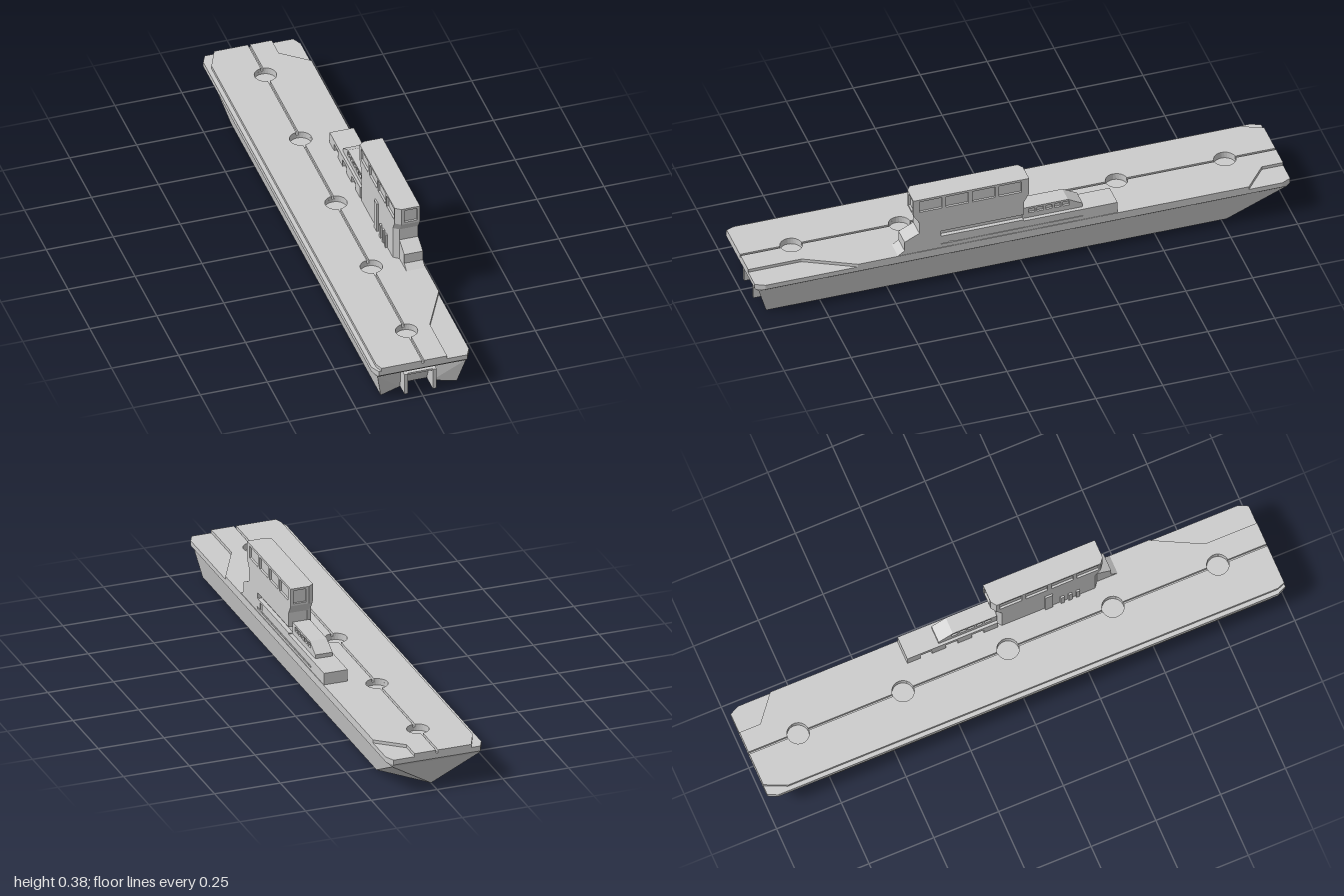
import * as THREE from 'three';
import { ConvexGeometry } from 'three/addons/geometries/ConvexGeometry.js';

const mat = new THREE.MeshStandardMaterial({ color: 0xcccccc, flatShading: true });
const skinMat = new THREE.MeshStandardMaterial({ color: 0xcccccc, flatShading: true, side: THREE.DoubleSide });

export function createModel() {
  const model = new THREE.Group();
  const add = (name, geometry, material = mat) => {
    const mesh = new THREE.Mesh(geometry, material);
    mesh.name = name;
    model.add(mesh);
    return mesh;
  };
  const toShape = (pts, holes = []) => {
    const shape = new THREE.Shape(pts.map(p => new THREE.Vector2(...p)));
    for (const h of holes) shape.holes.push(new THREE.Path(h.map(p => new THREE.Vector2(...p))));
    return shape;
  };
  const extrude = (pts, depth, holes) =>
    new THREE.ExtrudeGeometry(toShape(pts, holes), { depth, bevelEnabled: false });
  // Outline in (x, z), raised from y0 to y1
  const slab = (name, pts, y0, y1, holes) =>
    add(name, extrude(pts, y1 - y0, holes).rotateX(Math.PI / 2).translate(0, y1, 0));
  // Profile in (z, y), spanning x0 to x1
  const profile = (name, pts, x0, x1, holes) =>
    add(name, extrude(pts, x1 - x0, holes).rotateY(-Math.PI / 2).translate(x1, 0, 0));
  // Profile in (x, y), spanning z0 to z1
  const panel = (name, pts, z0, z1, holes) =>
    add(name, extrude(pts, z1 - z0, holes).translate(0, 0, z0));
  const rect = (a0, b0, a1, b1) => [[a0, b0], [a1, b0], [a1, b1], [a0, b1]];
  const box = (name, x0, x1, y0, y1, z0, z1) =>
    add(name, new THREE.BoxGeometry(x1 - x0, y1 - y0, z1 - z0)
      .translate((x0 + x1) / 2, (y0 + y1) / 2, (z0 + z1) / 2));
  const circle = (cz, r, n = 24) => Array.from({ length: n }, (_, i) => {
    const t = i / n * Math.PI * 2;
    return [r * Math.cos(t), cz + r * Math.sin(t)];
  });

  // Hull skin from flat facets, mirrored left and right
  const pos = [];
  const facet = (...p) => {
    for (let i = 1; i < p.length - 1; i++) pos.push(...p[0], ...p[i], ...p[i + 1]);
  };
  const flip = p => [-p[0], p[1], p[2]];
  const both = (...p) => { facet(...p); facet(...p.map(flip).reverse()); };
  const across = (a, b) => facet(a, b, flip(b), flip(a));
  const sternLow = [.142, 0, .95], bowLow = [.142, 0, -.77], keel = [0, 0, -.94];
  const sternTop = [.165, .11, .985], bowTop = [.165, .11, -.985];
  const sternSide = [.182, .124, .965], bowSide = [.182, .124, -.965];
  const sternEnd = [.165, .124, 1], bowEnd = [.165, .124, -1];
  const postTop = [.06, .085, .93], postLow = [.06, 0, .92];
  both(sternLow, bowLow, bowTop, sternTop);
  both(bowLow, keel, bowTop);
  facet(bowTop, keel, flip(bowTop));
  both(sternTop, bowTop, bowSide, sternSide);
  both(sternTop, sternSide, sternEnd);
  both(bowTop, bowEnd, bowSide);
  across(bowEnd, bowTop);
  across(sternTop, sternEnd);
  across(postTop, sternTop);
  both(sternTop, postTop, postLow);
  both(sternTop, postLow, sternLow);
  across([.06, 0, .9], [.06, .085, .935]);
  // Square pockets sunk in the bottom
  for (const z of [-.41, .41]) {
    const c = rect(-.05, z - .05, .05, z + .05);
    c.forEach((p, i) => {
      const q = c[(i + 1) % 4];
      facet([p[0], 0, p[1]], [p[0], .05, p[1]], [q[0], .05, q[1]], [q[0], 0, q[1]]);
    });
    facet(...c.map(p => [p[0], .05, p[1]]));
  }
  const hull = new THREE.BufferGeometry();
  hull.setAttribute('position', new THREE.Float32BufferAttribute(pos, 3));
  hull.computeVertexNormals();
  add('hull', hull, skinMat);
  const bottom = [[.142, .95], [.142, -.77], [0, -.94], [-.142, -.77], [-.142, .95],
    [-.06, .92], [-.06, .9], [.06, .9], [.06, .92]];
  add('hullBottom', new THREE.ShapeGeometry(toShape(bottom,
    [-.41, .41].map(z => rect(-.05, z - .05, .05, z + .05)))).rotateX(Math.PI / 2), skinMat);

  // Portal on the front end
  for (const s of [-1, 1]) box('portalPost', s * .053 - .007, s * .053 + .007, 0, .085, .89, .97);
  box('portalLintel', -.046, .046, .078, .085, .9, .965);

  // Deck plates with round sockets
  const deck = [[.165, 1], [.182, .965], [.182, -.965], [.165, -1],
    [-.165, -1], [-.182, -.965], [-.182, .965], [-.165, 1]];
  const sockets = [-.81, -.405, 0, .405, .81], r = .04, gap = .004;
  slab('deckBase', deck, .124, .13);
  slab('deckPlate', deck, .13, .143, sockets.map(z => circle(z, r)));

  // Raised flight deck in two halves, leaving the centre groove
  const flightHalf = (side, outline) => {
    const pts = [[side * gap, -1]], t0 = Math.acos(gap / r);
    for (const z of sockets)
      for (let i = 0; i <= 12; i++) {
        const t = -t0 + 2 * t0 * i / 12;
        pts.push([side * r * Math.cos(t), z + r * Math.sin(t)]);
      }
    pts.push([side * gap, 1], ...outline);
    slab('flightDeck', pts, .143, .155);
  };
  flightHalf(-1, [[-.155, 1], [-.166, .97], [-.166, -.92], [-.13, -1]]);
  flightHalf(1, [[.09, 1], [.09, .8], [.182, .62], [.182, -.84], [.085, -.92], [.085, -1]]);

  // Island tower: stem, flare and bridge
  const footprint = (front, back, outer = .18) => [[outer, back], [outer, front], [.11, front],
    [.09, front - .015], [.09, back + .015], [.11, back]];
  slab('towerFoot', footprint(.39, 0, .162), .155, .228);
  slab('towerStem', footprint(.39, 0), .228, .283);
  const lift = (pts, y) => pts.map(([x, z]) => new THREE.Vector3(x, y, z));
  add('towerFlare', new ConvexGeometry(
    [...lift(footprint(.39, 0), .283), ...lift(footprint(.412, -.02), .318)]));
  slab('bridgeCore', [[.172, -.012], [.172, .404], [.11, .404], [.11, .412], [.09, .397],
    [.098, .397], [.098, -.005], [.09, -.005], [.11, -.02], [.11, -.012]], .318, .385);

  // Window frames around the bridge
  const windows = [0, 1, 2, 3].map(i => rect(.008 + i * .099, .33, .092 + i * .099, .376));
  profile('bridgeSideFrame', rect(-.02, .318, .412, .385), .172, .18, windows);
  profile('bridgeInnerFrame', rect(-.005, .318, .397, .385), .09, .098, windows);
  for (const z of [-.02, .404])
    panel('bridgeEndFrame', rect(.11, .318, .172, .385), z, z + .008, [rect(.121, .326, .169, .377)]);

  // Stepped front of the island
  profile('frontStep', [[.47, .155], [.445, .172], [.445, .21], [.39, .237], [.39, .155]], .11, .18);

  // Outer walkway and its parapet
  box('walkwayEnd', .162, .18, .155, .228, .31, .39);
  box('walkway', .162, .176, .155, .203, 0, .31);
  profile('parapet', rect(-.0, .155, .31, .205), .174, .18,
    [rect(.262, .172, .282, .198)]);
  box('walkwayLip', .174, .182, .166, .172, -.22, .31);

  // Rear base with openings along the deck side
  box('rearBase', .1, .18, .155, .2, -.35, 0);
  const arcade = [[0, .155], [0, .2], [-.35, .2], [-.35, .155]];
  for (const z of [-.3, -.2, -.1])
    arcade.push([z, .155], [z, .183], [z + .045, .183], [z + .045, .155]);
  profile('rearArcade', arcade, .09, .1);

  // Low cabin with slit windows on both sides
  const cabin = [[0, .2], [0, .245], [-.17, .245], [-.225, .215], [-.225, .2]];
  const slits = [0, 1, 2, 3, 4].map(i => rect(-.175 + i * .032, .22, -.151 + i * .032, .237));
  profile('cabinCore', cabin, .108, .157);
  for (const x of [.1, .157]) profile('cabinSide', cabin, x, x + .008, slits);

  // Ducts and ribs on the deck side of the tower
  box('duct', .083, .09, .155, .275, .18, .21);
  for (const z of [.24, .27, .3]) box('rib', .083, .09, .155, .21, z, z + .014);
  return model;
}
